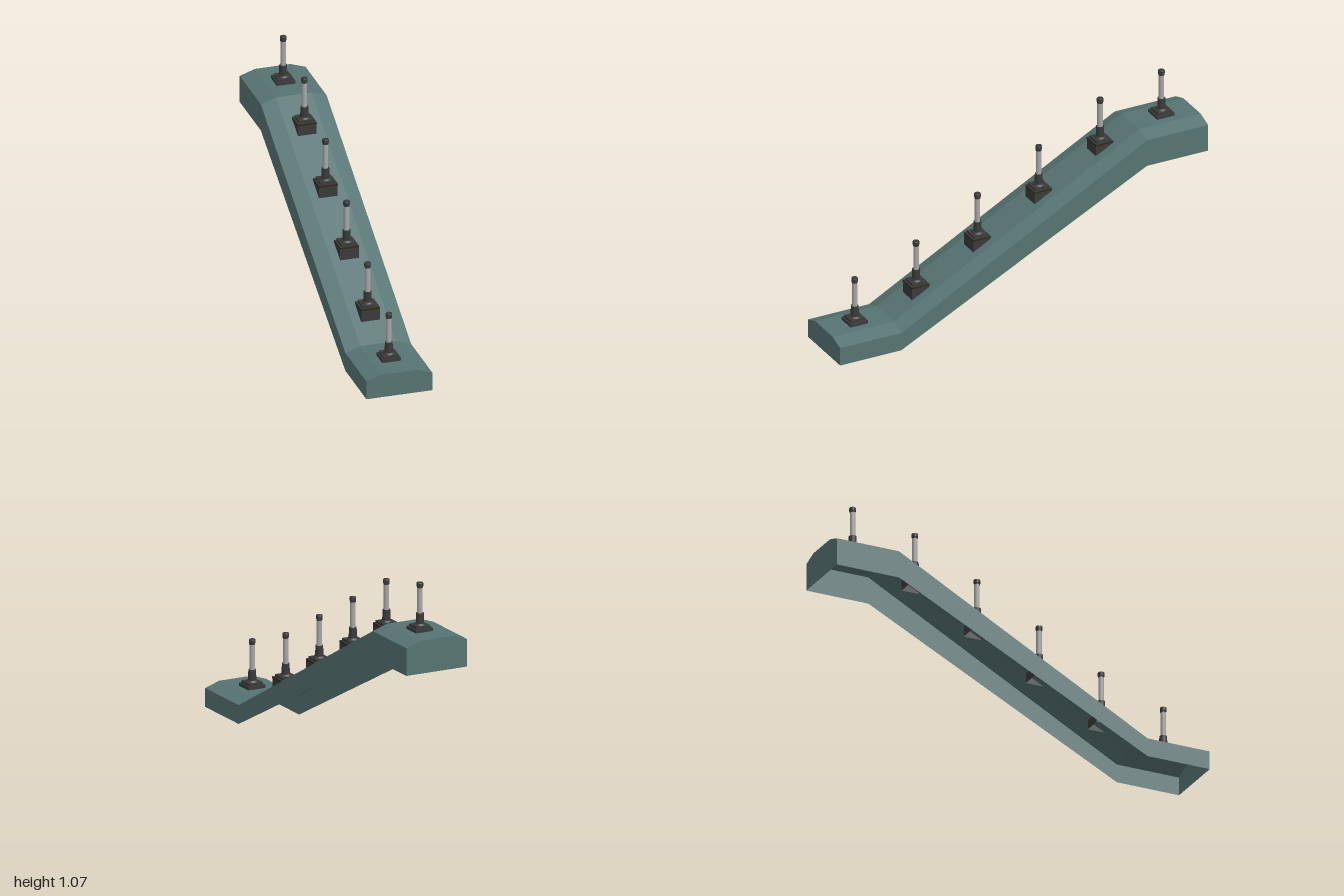
import * as THREE from 'three';

const teal = new THREE.MeshStandardMaterial({ color: 0x567472, side: THREE.DoubleSide });
teal.name = 'teal deck';
const dark = new THREE.MeshStandardMaterial({ color: 0x3a3a3a, side: THREE.DoubleSide });
dark.name = 'dark iron';
const steel = new THREE.MeshStandardMaterial({ color: 0xa8a8a8 });
steel.name = 'pale steel';
const olive = new THREE.MeshStandardMaterial({ color: 0x2e2912 });
olive.name = 'olive trim';

function add(group, name, geometry, material, y = 0) {
  const mesh = new THREE.Mesh(geometry, material);
  mesh.name = name;
  mesh.position.y = y;
  group.add(mesh);
  return mesh;
}

// Hollow ramp shell: open-bottomed cross-sections lofted along z, with closed ends
function rampGeometry() {
  const stations = [[1, 0, 0.12], [0.667, 0, 0.12], [-0.667, 0.67, 0.835], [-1, 0.67, 0.835]];
  const rings = stations.map(([z, low, high]) => [
    [-0.166, low, z], [-0.166, high - 0.026, z], [-0.09, high, z],
    [0.09, high, z], [0.166, high - 0.026, z], [0.166, low, z],
  ]);
  const pos = [];
  const tri = (...corners) => corners.forEach((c) => pos.push(...c));
  for (let s = 0; s < rings.length - 1; s++) {
    const a = rings[s], b = rings[s + 1];
    for (let i = 0; i < 5; i++) {
      tri(a[i], a[i + 1], b[i + 1]);
      tri(a[i], b[i + 1], b[i]);
    }
  }
  const front = rings[0], back = rings[3];
  for (let i = 1; i < 5; i++) {
    tri(front[0], front[i + 1], front[i]);
    tri(back[0], back[i], back[i + 1]);
  }
  const g = new THREE.BufferGeometry();
  g.setAttribute('position', new THREE.Float32BufferAttribute(pos, 3));
  g.computeVertexNormals();
  return g;
}

// Square pedestal with an open underside
function pedestalGeometry(width, height) {
  const g = new THREE.BoxGeometry(width, height, width);
  const index = Array.from(g.index.array);
  index.splice(18, 6);
  g.setIndex(index);
  return g;
}

// Post on a pedestal; depth is how far the pedestal reaches below the post's foot
function createPost(depth) {
  const post = new THREE.Group();
  post.name = 'post';
  const h = 0.016 + depth;
  add(post, 'pedestal', pedestalGeometry(0.094, h), dark, 0.016 - h / 2);
  if (depth > 0) add(post, 'pedestalTrim', new THREE.BoxGeometry(0.0955, 0.008, 0.0955), olive, 0.0115);
  add(post, 'step', new THREE.BoxGeometry(0.076, 0.012, 0.076), dark, 0.022);
  add(post, 'footRing', new THREE.CylinderGeometry(0.025, 0.03, 0.008, 16), dark, 0.032);
  add(post, 'collar', new THREE.CylinderGeometry(0.019, 0.02, 0.06, 16), dark, 0.057);
  add(post, 'pole', new THREE.CylinderGeometry(0.0135, 0.0135, 0.14, 16), steel, 0.15);
  const cap = [[0, 0], [0.0145, 0], [0.0145, 0.006], [0.0165, 0.008], [0.0165, 0.023], [0.015, 0.026], [0, 0.026]];
  const points = cap.map(([x, y]) => new THREE.Vector2(x, y));
  const capGeometry = new THREE.LatheGeometry(points, 16).toNonIndexed();
  capGeometry.computeVertexNormals();
  add(post, 'cap', capGeometry, dark, 0.213);
  return post;
}

export function createModel() {
  const model = new THREE.Group();
  model.name = 'rampWithPosts';
  add(model, 'ramp', rampGeometry(), teal);

  // Six evenly spaced posts; those on the slope have deep pedestals
  const heights = [0.12, 0.237, 0.413, 0.59, 0.765, 0.834];
  heights.forEach((y, i) => {
    const onSlope = i > 0 && i < 5;
    const post = createPost(onSlope ? 0.05 : 0);
    post.position.set(0, y, 0.833 - i * 0.3333);
    model.add(post);
  });
  return model;
}
